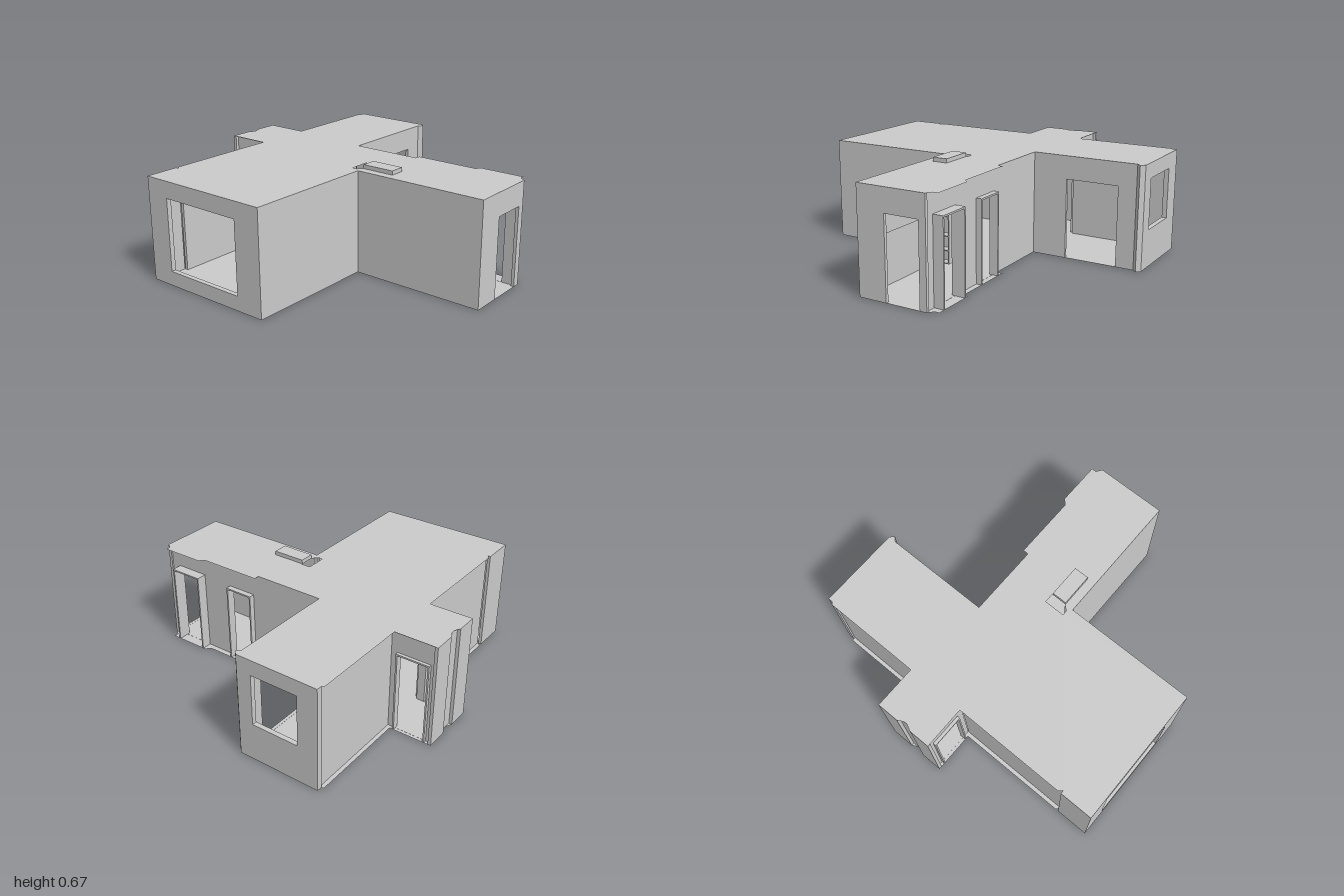
import * as THREE from 'three';

const H = 0.645;

export function createModel() {
  const house = new THREE.Group();
  house.name = 'house';
  const mat = new THREE.MeshStandardMaterial({ color: 0xcccccc, side: THREE.DoubleSide, flatShading: true });

  const add = (name, geo) => {
    const mesh = new THREE.Mesh(geo, mat);
    mesh.name = name;
    house.add(mesh);
    return mesh;
  };
  // Box from its lower and upper limits
  const box = (name, x0, x1, y0, y1, z0, z1) =>
    add(name, new THREE.BoxGeometry(x1 - x0, y1 - y0, z1 - z0))
      .position.set((x0 + x1) / 2, (y0 + y1) / 2, (z0 + z1) / 2);

  const rect = (P, a, b, c, d) => {
    const p = new P();
    p.moveTo(a, c); p.lineTo(b, c); p.lineTo(b, d); p.lineTo(a, d); p.closePath();
    return p;
  };

  // Wall running clockwise round the plan, thickened inward.
  // Holes are [from, to, bottom, top] along the wall's own world axis.
  const wall = (name, x0, z0, x1, z1, holes = [], t = 0.02) => {
    const start = x0 === x1 ? z0 : x0;
    const shape = rect(THREE.Shape, 0, Math.hypot(x1 - x0, z1 - z0), 0, H);
    for (const [a, b, y0, y1] of holes) {
      const u = Math.abs(a - start), v = Math.abs(b - start);
      shape.holes.push(rect(THREE.Path, Math.min(u, v), Math.max(u, v), Math.max(y0, 0.001), y1));
    }
    const mesh = add(name, new THREE.ExtrudeGeometry(shape, { depth: t, bevelEnabled: false }));
    mesh.position.set(x0, 0, z0);
    mesh.rotation.y = Math.atan2(z0 - z1, x1 - x0);
  };

  // Plan outline shared by floor and roof, with a small shaft through both
  const plan = [
    [0.95, -0.73], [0.965, -0.71], [0.99, -0.71], [0.99, -0.19], [0.965, -0.165], [0.94, -0.19],
    [0.27, -0.19], [0.27, 0.26], [0.305, 0.26], [0.305, 0.66], [0.335, 0.69], [0.335, 0.965],
    [0.305, 0.965], [0.28, 1], [-0.165, 1], [-0.165, 0.15], [-1, 0.15], [-1, -0.73],
    [-0.82, -0.73], [-0.79, -0.71], [-0.77, -0.73], [-0.055, -0.73], [-0.055, -1],
    [0.08, -1], [0.13, -0.975], [0.18, -1], [0.32, -1], [0.32, -0.73],
  ];
  for (const [name, y] of [['floor', 0], ['roof', H]]) {
    const s = new THREE.Shape(plan.map(([x, z]) => new THREE.Vector2(x, -z)));
    const shaft = [[-0.14, 0.09], [-0.01, 0.09], [-0.01, 0.15], [-0.105, 0.15], [-0.14, 0.12]];
    s.holes.push(new THREE.Path(shaft.map(([x, z]) => new THREE.Vector2(x, -z))));
    const geo = new THREE.ShapeGeometry(s);
    geo.rotateX(-Math.PI / 2);
    add(name, geo).position.y = y;
  }
  box('roofVent', -0.11, -0.015, H, 0.67, 0.15, 0.36);

  // Main wing
  wall('backCornerWall', -1, -0.73, -0.79, -0.73);
  wall('backLeftWall', -0.79, -0.705, -0.04, -0.705);
  wall('backRightWall', 0.3, -0.705, 0.96, -0.705);
  wall('rightEndWall', 0.99, -0.71, 0.99, -0.19, [[-0.585, -0.285, 0.235, 0.55]], 0.03);
  wall('rightFrontWall', 0.99, -0.19, 0.27, -0.19, [[0.49, 0.825, 0, 0.5]]);
  wall('leftFrontWall', -0.165, 0.15, -1, 0.15);
  wall('leftEndWall', -1, 0.15, -1, -0.73, [[-0.575, -0.03, 0.09, 0.54]], 0.03);

  // Corner posts: a wedge at the front and a short return at the back
  const wedge = new THREE.Shape([[0.94, 0.19], [0.965, 0.165], [0.99, 0.19]].map(p => new THREE.Vector2(...p)));
  const wedgeGeo = new THREE.ExtrudeGeometry(wedge, { depth: H, bevelEnabled: false });
  wedgeGeo.rotateX(-Math.PI / 2);
  add('frontCornerPost', wedgeGeo);
  box('backCornerPost', 0.955, 0.99, 0, H, -0.715, -0.7);

  // Front wing
  wall('frontWingSideWall', 0.27, -0.19, 0.27, 1, [[0.31, 0.49, 0, 0.495], [0.715, 0.91, 0, 0.505]]);
  wall('frontWingFrontWall', 0.28, 1, -0.165, 1, [[0.015, 0.235, 0, 0.5]]);
  wall('frontWingBlankWall', -0.165, 1, -0.165, 0.15);

  // Back wing
  wall('backWingEndWall', -0.055, -1, 0.08, -1);
  wall('backWingEndWall', 0.08, -0.98, 0.18, -0.98);
  wall('backWingEndWall', 0.18, -1, 0.32, -1);
  wall('backWingRightWall', 0.3, -1, 0.3, -0.705, [[-0.945, -0.755, 0, 0.495]]);
  wall('backWingLeftWall', -0.035, -0.705, -0.035, -1, [[-0.945, -0.755, 0, 0.495]]);

  // Door frames standing out from the walls
  const doorFrame = (x0, x1, z0, z1, top, w = 0.01) => {
    box('doorJamb', x0, x1, 0, top, z0 - w, z0);
    box('doorJamb', x0, x1, 0, top, z1, z1 + w);
    box('doorHeader', x0, x1, top, top + w, z0 - w, z1 + w);
  };
  doorFrame(0.25, 0.335, 0.715, 0.91, 0.505);
  doorFrame(0.25, 0.305, 0.315, 0.485, 0.495);
  doorFrame(0.28, 0.32, -0.945, -0.755, 0.5);
  doorFrame(-0.055, -0.015, -0.945, -0.755, 0.5);

  // Wall cabinets along the blank side of the front wing
  for (const [z0, z1] of [[0.37, 0.58], [0.58, 0.79], [0.79, 0.97]])
    box('wallCabinet', -0.145, -0.04, 0.36, 0.5, z0, z1);

  // Bookcase
  box('bookcaseBack', -0.145, 0, 0.03, 0.49, 0.305, 0.312);
  box('bookcaseSide', -0.007, 0, 0.03, 0.49, 0.312, 0.365);
  box('bookcaseSide', -0.145, -0.138, 0.03, 0.49, 0.312, 0.365);
  for (const y of [0.03, 0.11, 0.2, 0.32, 0.45, 0.485])
    box('bookcaseShelf', -0.138, -0.007, y, y + 0.006, 0.312, 0.365);

  return house;
}
